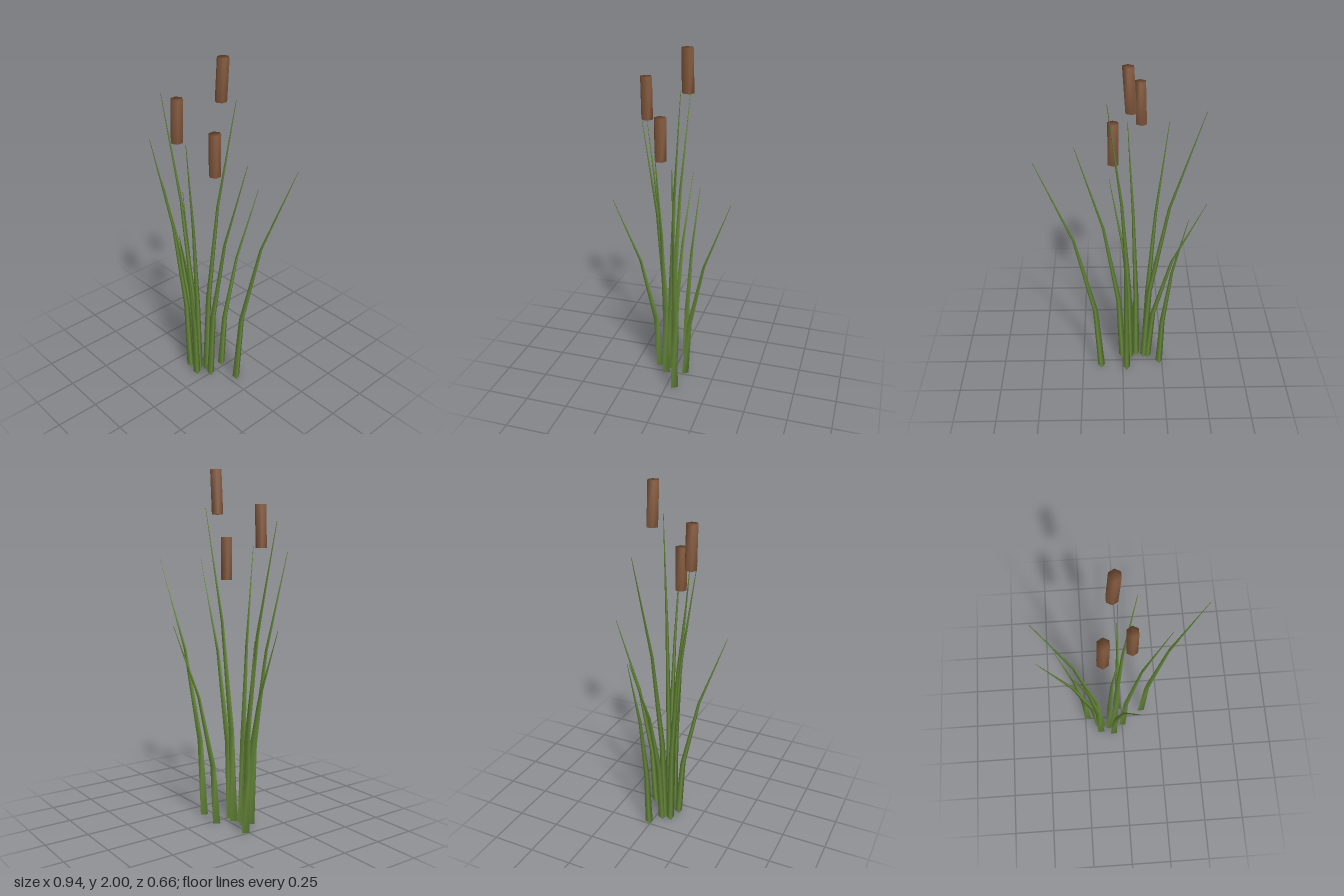
import * as THREE from 'three';

// Closed tube of horizontal polygon rings with smooth shared normals.
// rings: [x, y, z, radius], listed from bottom to top; first corner points to -z.
function ringTube(rings, sides) {
  const pos = [], index = [];
  for (const [x, y, z, r] of rings) {
    for (let i = 0; i < sides; i++) {
      const a = Math.PI + (i / sides) * Math.PI * 2;
      pos.push(x + Math.sin(a) * r, y, z + Math.cos(a) * r);
    }
  }
  for (let k = 0; k < rings.length - 1; k++) {
    for (let i = 0; i < sides; i++) {
      const a = k * sides + i, b = k * sides + (i + 1) % sides;
      index.push(a, b, b + sides, a, b + sides, a + sides);
    }
  }
  // end caps
  const last = (rings.length - 1) * sides;
  for (let i = 1; i < sides - 1; i++) {
    index.push(0, i + 1, i);
    index.push(last, last + i, last + i + 1);
  }
  const geo = new THREE.BufferGeometry();
  geo.setAttribute('position', new THREE.Float32BufferAttribute(pos, 3));
  geo.setIndex(index);
  geo.computeVertexNormals();
  return geo;
}

export function createModel() {
  const model = new THREE.Group();
  model.name = 'reeds';

  const leafGreen = new THREE.MeshStandardMaterial({ color: 0x6b8e3d });
  leafGreen.name = 'leafGreen';
  const headBrown = new THREE.MeshStandardMaterial({ color: 0x855a3e });
  headBrown.name = 'headBrown';

  // Leaf blades: base x, base z, then tip x, y, z
  const blades = [
    [-0.136, 0.047, -0.44, 1.72, 0.02],
    [-0.16, 0.04, -0.47, 1.165, 0.01],
    [-0.232, -0.012, -0.365, 1.105, -0.06],
    [-0.145, 0.088, -0.265, 1.56, 0.24],
    [-0.088, 0.064, -0.03, 1.59, 0.185],
    [-0.05, 0.036, 0.08, 1.8, -0.065],
    [0.0, 0.046, 0.26, 1.52, 0.02],
    [0.135, -0.047, 0.465, 1.51, -0.135],
    [-0.063, 0.105, 0.075, 1.15, 0.33],
    [-0.025, -0.068, 0.0, 1.165, -0.33],
  ];
  const leaves = new THREE.Group();
  leaves.name = 'leaves';
  for (const [bx, bz, tx, ty, tz] of blades) {
    // three-sided, tapering, leaning outward with the square of the height
    const rings = [0, 0.3, 0.65, 1].map((t) => [
      bx + (tx - bx) * t * t,
      ty * t,
      bz + (tz - bz) * t * t,
      0.0245 * (1 - t) + 0.0015 * t,
    ]);
    const blade = new THREE.Mesh(ringTube(rings, 3), leafGreen);
    blade.name = 'leafBlade';
    leaves.add(blade);
  }
  model.add(leaves);

  // Seed heads: bottom x, top x, bottom y, z
  const heads = new THREE.Group();
  heads.name = 'seedHeads';
  for (const [x0, x1, y, z] of [
    [-0.042, -0.026, 1.76, -0.07],
    [-0.106, -0.097, 1.58, 0.182],
    [0.05, 0.051, 1.4, 0.056],
  ]) {
    const rings = [[x0, y, z, 0.034], [x1, y + 0.24, z, 0.034]];
    const head = new THREE.Mesh(ringTube(rings, 6), headBrown);
    head.name = 'seedHead';
    heads.add(head);
  }
  model.add(heads);

  return model;
}
